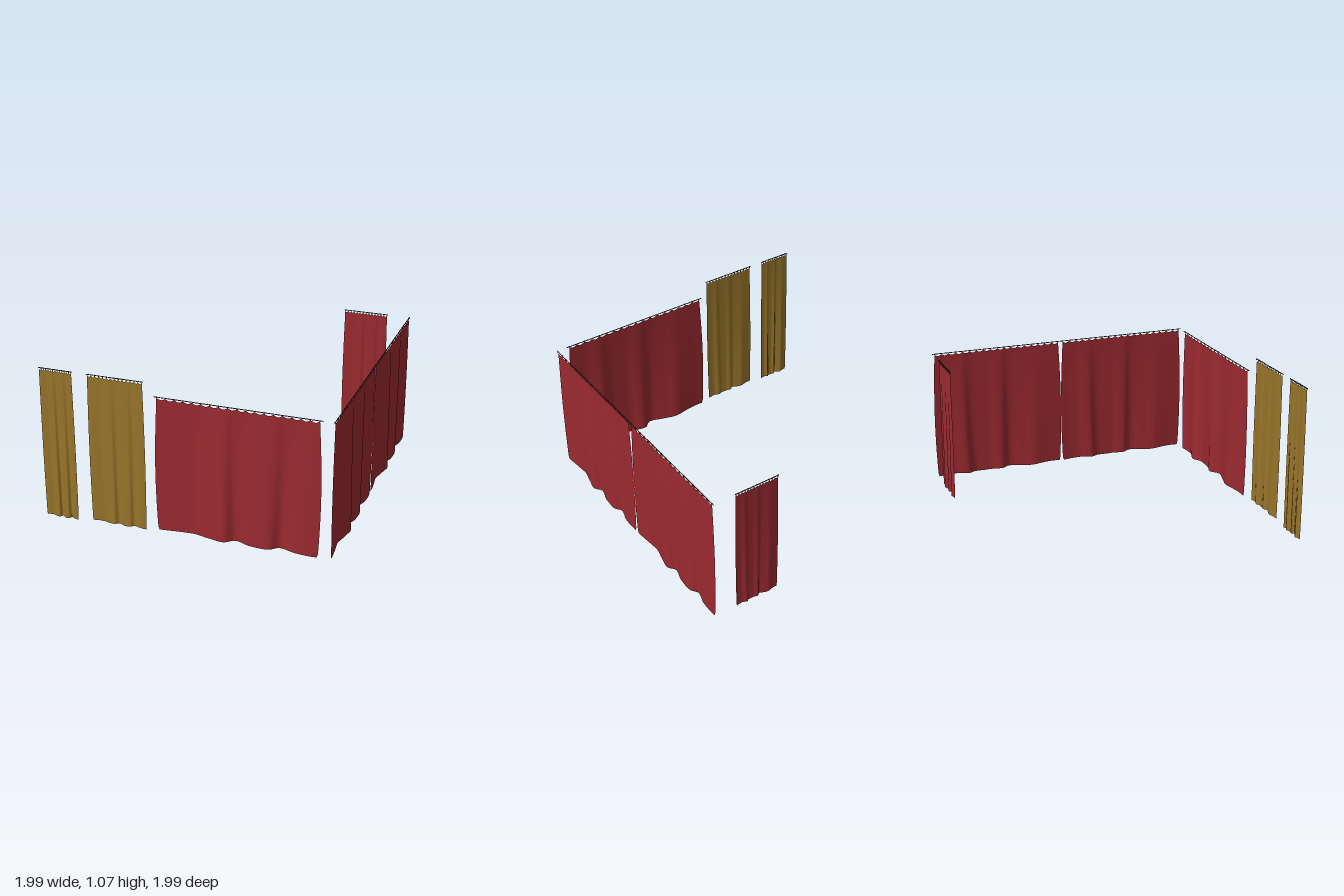
import * as THREE from 'three';

const RED = 0x9b2a30, GOLD = 0x98752a, ROD = 0x33291f;

// Fold profile along the width: [fraction of width, depth], depth 1 = full outward fold
const foldCurve = new THREE.SplineCurve([
  [0, 0], [0.08, -0.15], [0.22, -0.85], [0.31, -0.1], [0.39, 0.85], [0.435, 0.7], [0.475, -0.6],
  [0.52, -0.55], [0.58, 0.25], [0.66, 0.5], [0.71, 0.2], [0.755, -1], [0.80, -0.8],
  [0.86, 0.05], [0.93, 0.2], [1, 0],
].map(([u, d]) => new THREE.Vector2(u, d)));
const SAMPLES = foldCurve.getPoints(300);

function foldDepth(u) {
  let i = 1;
  while (i < SAMPLES.length - 1 && SAMPLES[i].x < u) i++;
  const a = SAMPLES[i - 1], b = SAMPLES[i];
  const t = THREE.MathUtils.clamp((u - a.x) / (b.x - a.x || 1), 0, 1);
  return a.y + (b.y - a.y) * t;
}

// Cloth: a fine grid whose folds deepen downwards, with a scalloped top edge
function clothGeometry(width, bottom, top, depth, rings) {
  const geo = new THREE.PlaneGeometry(1, 1, 140, 36);
  const p = geo.attributes.position;
  for (let i = 0; i < p.count; i++) {
    const u = p.getX(i) + 0.5;
    const v = 0.5 - p.getY(i); // 0 at the top, 1 at the hem
    const bulge = 0.962 + 0.038 * Math.sin(Math.PI * Math.min(1, v * 0.85 + 0.02));
    const corner = Math.max(0, v - 0.97) / 0.03;
    const half = (width / 2) * (bulge - 0.012 * corner * corner);
    const scallop = 0.013 * Math.abs(Math.sin(Math.PI * rings * u)) * Math.max(0, 1 - v * 12);
    const drift = u + 0.025 * (1 - v) * Math.sin(Math.PI * 2 * u);
    const ripple = 0.06 * Math.sin(u * 46 + v) * Math.sin(Math.PI * u);
    const z = depth * (0.1 + 0.9 * Math.pow(v, 0.8)) * (foldDepth(drift) + ripple);
    const hem = 0.003 * Math.sin(u * 17) * v * v;
    p.setXYZ(i, (u * 2 - 1) * half, top - 0.004 - scallop - v * (top - bottom - 0.008) + hem, z);
  }
  geo.computeVertexNormals();
  return geo;
}

function makeCurtain({ name, width, bottom, top, depth, color, x, z, turn = 0, rings }) {
  const curtain = new THREE.Group();
  curtain.name = name;
  const clothMat = new THREE.MeshStandardMaterial({ color, side: THREE.DoubleSide });
  const rodMat = new THREE.MeshStandardMaterial({ color: ROD });

  const cloth = new THREE.Mesh(clothGeometry(width, bottom, top, depth, rings), clothMat);
  cloth.name = 'cloth';
  curtain.add(cloth);

  // Rod along the top
  const rod = new THREE.Mesh(new THREE.CylinderGeometry(0.003, 0.003, width, 8), rodMat);
  rod.name = 'rod';
  rod.rotation.z = Math.PI / 2;
  rod.position.y = top;
  curtain.add(rod);

  // Rings holding the cloth at the scallop peaks
  const ringGeo = new THREE.TorusGeometry(0.005, 0.0012, 5, 10);
  for (let i = 0; i <= rings; i++) {
    const ring = new THREE.Mesh(ringGeo, rodMat);
    ring.name = 'ring';
    ring.rotation.y = Math.PI / 2;
    ring.position.set((i / rings - 0.5) * width * 0.962, top - 0.002, 0);
    curtain.add(ring);
  }
  curtain.position.set(x, 0, z);
  curtain.rotation.y = turn;
  return curtain;
}

export function createModel() {
  const model = new THREE.Group();
  model.name = 'curtains';
  const red = { color: RED, bottom: 0.02, top: 0.968, rings: 18 };
  const gold = { color: GOLD, top: 1.068, depth: 0.01, z: 0.984, rings: 14 };
  const side = { ...red, width: 0.98, depth: 0.02, x: 0.974, turn: Math.PI / 2 };
  [
    { ...gold, name: 'narrowGoldCurtain', width: 0.236, bottom: 0.003, x: -0.877 },
    { ...gold, name: 'wideGoldCurtain', width: 0.392, bottom: 0.02, x: -0.463 },
    { ...red, name: 'frontRedCurtain', width: 1.11, depth: 0.026, x: 0.346, z: 0.959 },
    { ...side, name: 'sideFrontCurtain', z: 0.473 },
    { ...side, name: 'sideBackCurtain', z: -0.508 },
    { ...red, name: 'backRedCurtain', width: 0.325, depth: 0.009, x: 0.652, z: -0.99, rings: 14 },
  ].forEach((spec) => model.add(makeCurtain(spec)));
  return model;
}
